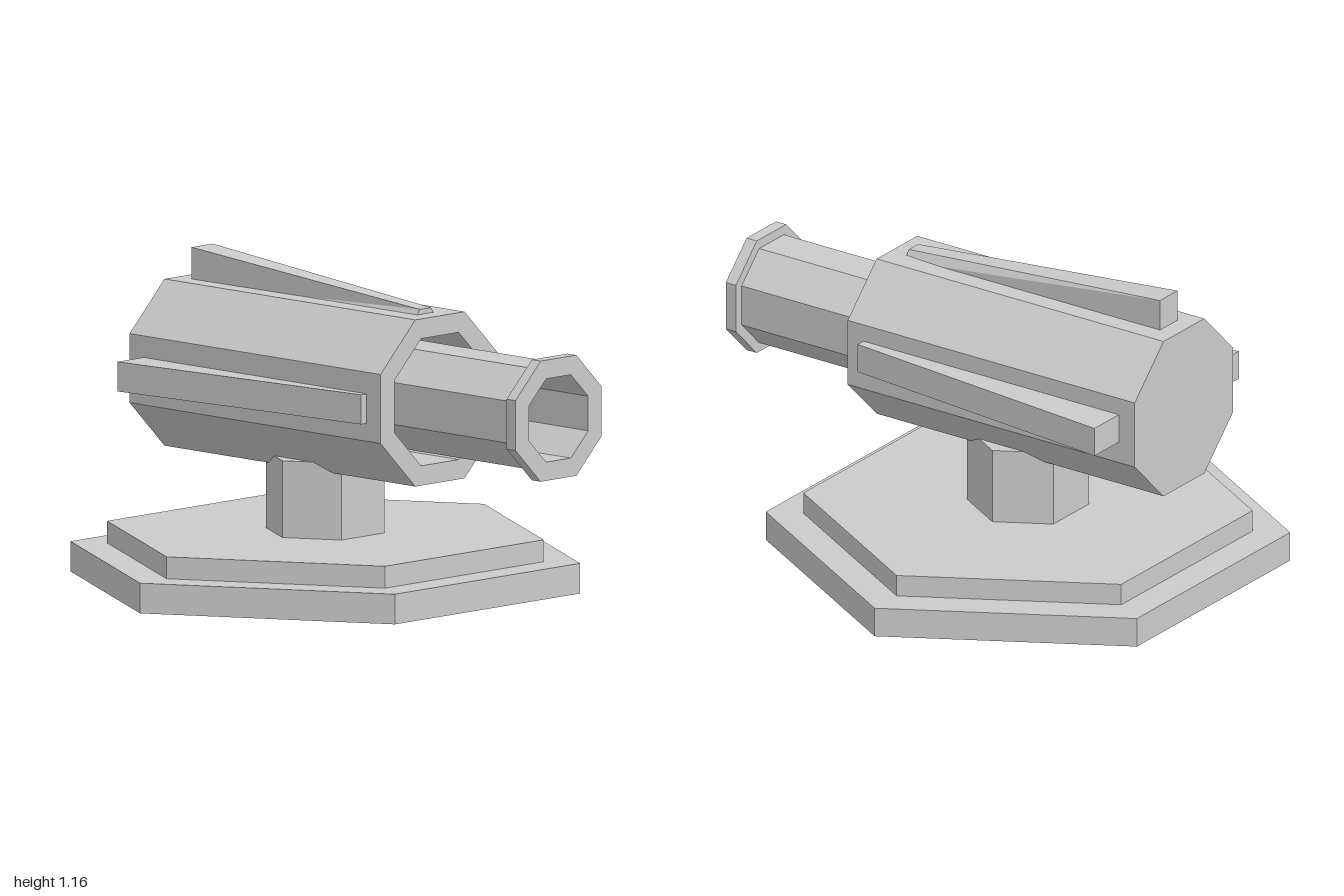
import * as THREE from 'three';

const material = new THREE.MeshStandardMaterial({ color: 0xcccccc, flatShading: true });
const AXIS_Y = 0.737; // height of the gun axis
const POST_X = -0.18; // centre of the mount

function add(group, name, geometry, x = 0, y = 0, z = 0) {
  const mesh = new THREE.Mesh(geometry, material);
  mesh.name = name;
  mesh.position.set(x, y, z);
  group.add(mesh);
  return mesh;
}

// Six-sided slab with corners facing +z and -z
function hexPrism(group, name, radius, y0, y1) {
  add(group, name, new THREE.CylinderGeometry(radius, radius, y1 - y0, 6), POST_X, (y0 + y1) / 2, 0);
}

// Eight-sided solid along x; profile is [apothem, x] from rear to front
function octagonal(group, name, profile) {
  const k = 1 / Math.cos(Math.PI / 8);
  const points = profile.map(([a, x]) => new THREE.Vector2(a * k, x));
  const geometry = new THREE.LatheGeometry(points, 8, Math.PI / 8);
  geometry.rotateZ(-Math.PI / 2);
  add(group, name, geometry, 0, AXIS_Y, 0);
}

// Wedge-shaped rib rising along +y, tall at the rear and low at the front
function fin(group, name, rearTop, frontTop, frontHalf, angle, y, z) {
  const geometry = new THREE.BoxGeometry(2, 2, 2);
  const p = geometry.attributes.position;
  for (let i = 0; i < p.count; i++) {
    const front = p.getX(i) > 0;
    const top = p.getY(i) > 0;
    const half = front && top ? frontHalf : 0.054;
    p.setXYZ(i, front ? 0.33 : -0.8, top ? (front ? frontTop : rearTop) : 0.285, Math.sign(p.getZ(i)) * half);
  }
  geometry.rotateX(angle);
  geometry.computeVertexNormals();
  add(group, name, geometry, 0, y, z);
}

export function createModel() {
  const model = new THREE.Group();
  model.name = 'cannonTurret';

  // Stepped base and post
  hexPrism(model, 'baseLower', 0.948, 0, 0.11);
  hexPrism(model, 'baseUpper', 0.812, 0.11, 0.19);
  hexPrism(model, 'post', 0.22, 0.19, 0.47);

  // Housing with a recessed front opening
  octagonal(model, 'housing', [
    [0, -0.87], [0.304, -0.87], [0.304, 0.4], [0.232, 0.4], [0.232, 0.1], [0, 0.1],
  ]);

  // Hollow barrel with a flared muzzle ring
  octagonal(model, 'barrel', [
    [0.185, 0.1], [0.185, 0.955], [0.22, 0.955], [0.22, 1], [0.152, 1], [0.152, 0.15], [0, 0.15],
  ]);

  // Ribs on the top and both sides
  fin(model, 'topFin', 0.42, 0.323, 0.029, 0, AXIS_Y, 0.004);
  fin(model, 'leftFin', 0.437, 0.333, 0.054, Math.PI / 2, 0.73, 0);
  fin(model, 'rightFin', 0.455, 0.34, 0.054, -Math.PI / 2, 0.745, 0);

  return model;
}
